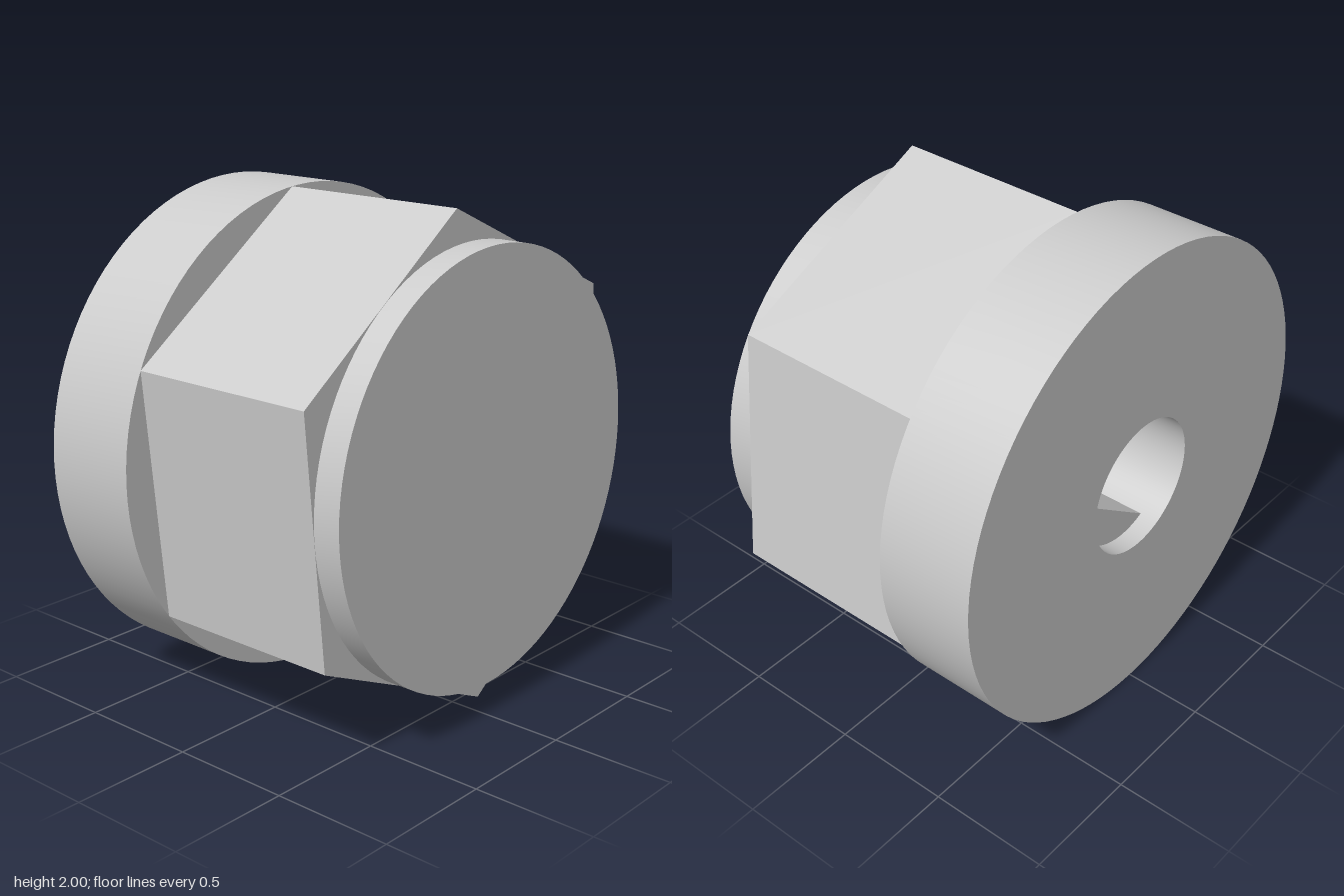
import * as THREE from 'three';
import { toCreasedNormals } from 'three/addons/utils/BufferGeometryUtils.js';

const BACK = -0.67, COLLAR_FRONT = -0.255, HEX_FRONT = 0.555, FRONT = 0.67;
const BORE_R = 0.285, BORE_END = 0.3, FLAT_START = -0.59;
const HEX_TURN = THREE.MathUtils.degToRad(35.5);

export function createModel() {
  const group = new THREE.Group();
  const material = new THREE.MeshStandardMaterial({ color: 0xcccccc });

  // Extrudes a shape along z between two depths, centred on the knob's axis
  function addPart(name, shape, z0, z1, curveSegments = 32) {
    const geometry = new THREE.ExtrudeGeometry(shape, {
      depth: z1 - z0, bevelEnabled: false, curveSegments,
    });
    geometry.translate(0, 1, z0);
    const mesh = new THREE.Mesh(toCreasedNormals(geometry, Math.PI / 6), material);
    mesh.name = name;
    group.add(mesh);
  }

  const disc = (r) => new THREE.Shape().absarc(0, 0, r, 0, Math.PI * 2, false);
  const withBore = (shape) => {
    shape.holes.push(new THREE.Path().absarc(0, 0, BORE_R, 0, Math.PI * 2, true));
    return shape;
  };

  // Round collar at the back
  addPart('collar', withBore(disc(1)), BACK, COLLAR_FRONT, 48);

  // Hexagonal grip, its corners reaching the collar's rim
  const corners = [];
  for (let i = 0; i < 6; i++) {
    const a = HEX_TURN + (i * Math.PI) / 3;
    corners.push(new THREE.Vector2(Math.cos(a), Math.sin(a)));
  }
  addPart('hexGrip', withBore(new THREE.Shape(corners)), COLLAR_FRONT, HEX_FRONT);

  // Round face at the front
  addPart('frontCap', disc(0.865), HEX_FRONT, FRONT, 48);

  // Plug that ends the shaft bore
  addPart('boreFloor', disc(BORE_R), BORE_END, HEX_FRONT);

  // Circle segment that gives the bore its D-shaped section
  const half = Math.acos(0.135 / BORE_R);
  const mid = HEX_TURN - Math.PI / 2;
  const segment = new THREE.Shape().absarc(0, 0, BORE_R, mid - half, mid + half, false);
  segment.closePath();
  addPart('boreFlat', segment, FLAT_START, BORE_END);

  return group;
}
